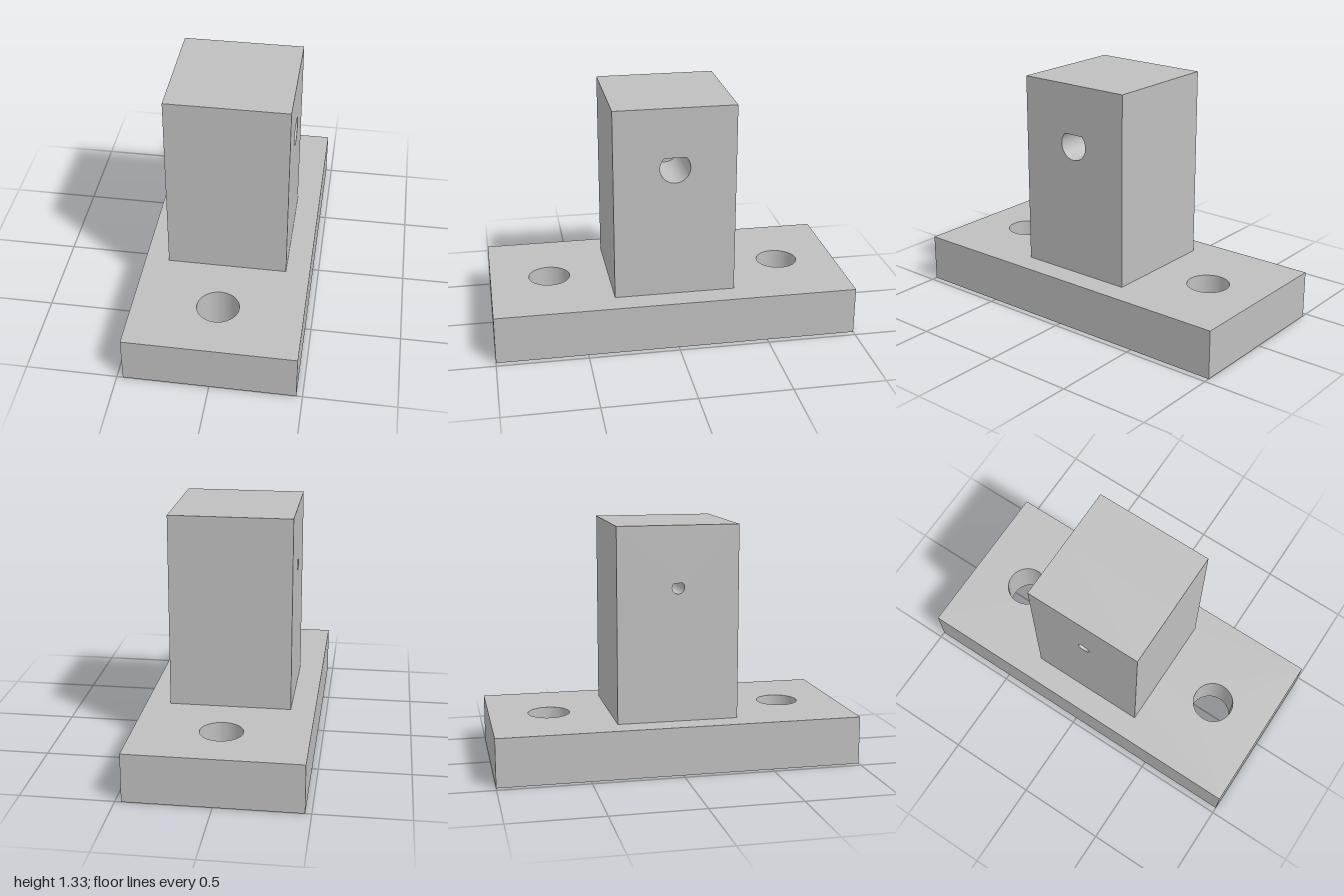
import * as THREE from 'three';
import { toCreasedNormals } from 'three/addons/utils/BufferGeometryUtils.js';

const HALF_POST = 1 / 3;
const BASE_TOP = 0.267;
const POST_TOP = 1.333;

function rectangle(x0, y0, x1, y1) {
  return new THREE.Shape([
    new THREE.Vector2(x0, y0), new THREE.Vector2(x1, y0),
    new THREE.Vector2(x1, y1), new THREE.Vector2(x0, y1),
  ]);
}

// Round hole with a 45 degree pointed roof
function teardrop(cy, r) {
  const path = new THREE.Path();
  path.moveTo(0, cy + r * Math.SQRT2);
  path.absarc(0, cy, r, Math.PI * 0.75, Math.PI * 2.25, false);
  path.closePath();
  return path;
}

function extrude(shape, depth) {
  return new THREE.ExtrudeGeometry(shape, { depth, bevelEnabled: false, curveSegments: 48 });
}

export function createModel() {
  const group = new THREE.Group();
  group.name = 'mountingBlock';
  const grey = new THREE.MeshStandardMaterial({ color: 0xbfbfbf });
  grey.name = 'grey';

  function add(name, geometry) {
    const mesh = new THREE.Mesh(toCreasedNormals(geometry, 0.5), grey);
    mesh.name = name;
    group.add(mesh);
  }

  // Base plate with two vertical bolt holes
  const plate = rectangle(-0.467, -1, 0.467, 1);
  for (const z of [-0.667, 0.667]) {
    plate.holes.push(new THREE.Path().absarc(0, z, 0.116, 0, Math.PI * 2, true));
  }
  add('basePlate', extrude(plate, BASE_TOP).rotateX(-Math.PI / 2));

  // Post in two halves: narrow bore on the right-hand side, wide bore on the left
  const halves = [
    ['postNarrowBore', 0.034, -HALF_POST],
    ['postWideBore', 0.083, 0],
  ];
  for (const [name, radius, x] of halves) {
    const side = rectangle(-HALF_POST, BASE_TOP, HALF_POST, POST_TOP);
    side.holes.push(teardrop(1, radius));
    add(name, extrude(side, HALF_POST).rotateY(Math.PI / 2).translate(x, 0, 0));
  }

  return group;
}
